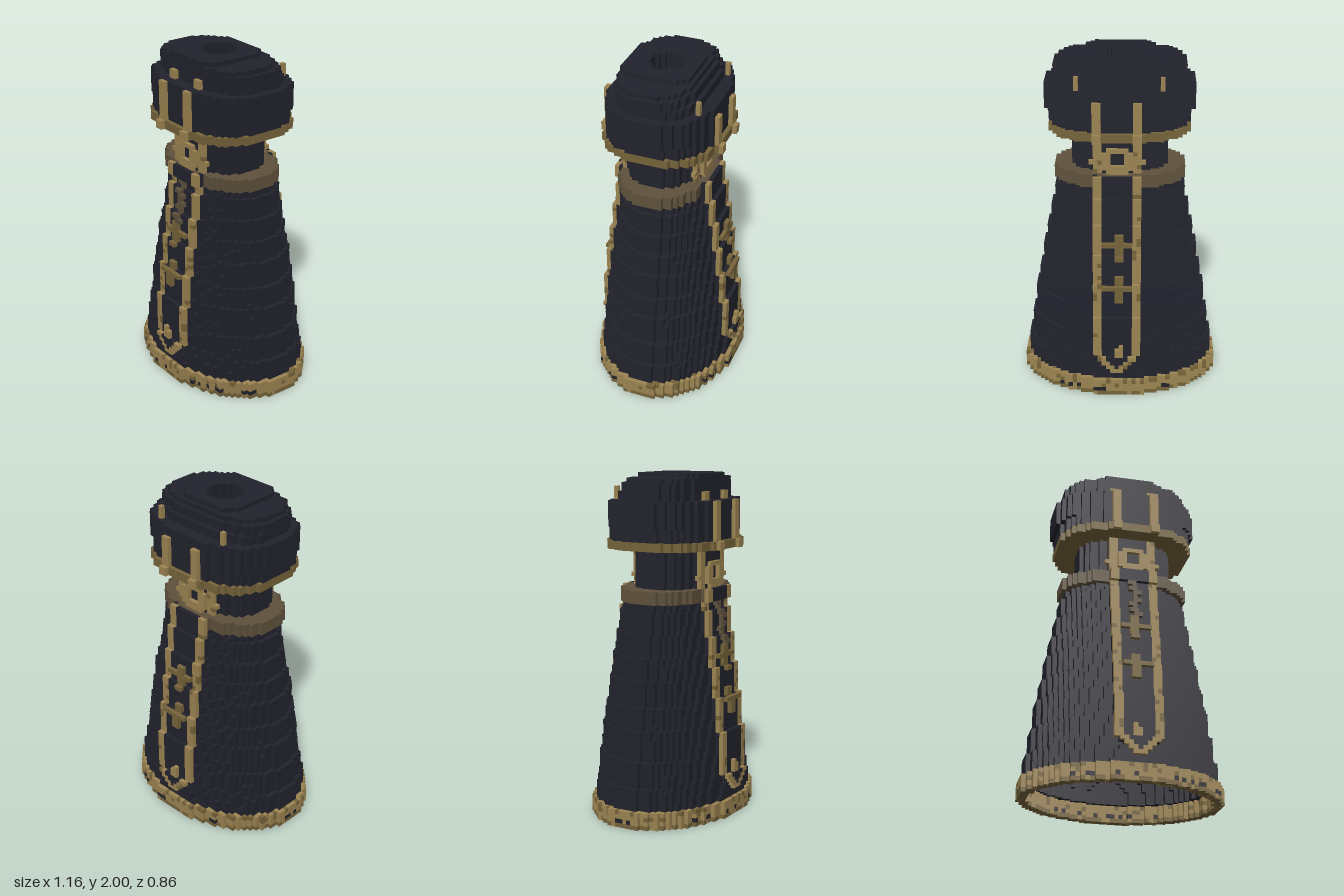
import * as THREE from 'three';

const U = 2 / 79; // edge of one cube

const mat = (name, color) => Object.assign(new THREE.MeshStandardMaterial({ color }), { name });

export function createModel() {
  const cloth = mat('dark cloth', 0x22222d);
  const gold = mat('gold trim', 0x9c8452);
  const darkGold = mat('dark gold', 0x76643a);
  const leather = mat('dull brown', 0x5f523c);
  const parts = {
    robe: cloth, neck: cloth, hood: cloth, panel: cloth, hemGap: cloth,
    hem: gold, hemShade: darkGold, belt: leather, hoodBand: darkGold,
    panelTrim: gold, panelTrimShade: darkGold, buckle: gold, emblem: gold,
    cross: darkGold, chain: leather, hoodStud: gold,
  };

  // Cube grid: column i, row j, depth k -> part name
  const cells = new Map();
  const key = (i, j, k) => ((j + 4) * 64 + i + 32) * 64 + k + 32;
  const get = (i, j, k) => cells.get(key(i, j, k));
  const put = (part, i, j, k) => cells.set(key(i, j, k), { part, i, j, k });

  let seed = 7;
  const random = () => (seed = (seed * 16807) % 2147483647) / 2147483647;

  const inside = (i, k, a, b, c, n) =>
    a > 0 && b > 0 && Math.abs((i + 0.5) / a) ** n + Math.abs((k - c) / b) ** n <= 1;

  // Rounded layer of cubes; wall > 0 leaves it hollow
  function layer(part, j, a, b, c, n = 2, wall = 0) {
    for (let i = -23; i < 23; i++) {
      for (let k = -17; k <= 17; k++) {
        if (!inside(i, k, a, b, c, n)) continue;
        if (wall && inside(i, k, a - wall, b - wall, c, n)) continue;
        put(typeof part === 'function' ? part(j) : part, i, j, k);
      }
    }
  }
  function stack(part, j0, j1, a, k0, k1, n) {
    for (let j = j0; j <= j1; j++) layer(part, j, a, (k1 - k0 + 1) / 2, (k0 + k1) / 2, n);
  }

  // Flared hollow robe
  for (let j = 4; j < 50; j++) {
    const y = (j + 0.5) * U;
    const a = Math.round((0.575 - 0.13 * y - 0.035 * y * y) / U);
    const b = (0.415 - 0.075 * y - 0.04 * y * y) / U;
    layer('robe', j, a, b, -0.5, 2, 2);
  }

  // Mottled hem
  const hemPart = (j) => {
    const r = random();
    if (j === 0) return r < 0.85 ? 'hemShade' : 'hem';
    if (j === 1 && r < 0.2) return 'hemGap';
    return r < 0.2 ? 'hemShade' : 'hem';
  };
  for (let j = 0; j < 4; j++) layer(hemPart, j, 23, 17, -0.5, 2, 2);

  // Belt, neck and stepped hood
  stack('belt', 50, 52, 15, -10, 10, 2.2);
  stack('neck', 53, 61, 11, -7, 8, 2.4);
  stack('hoodBand', 62, 63, 16, -13, 13, 2.6);
  stack('hood', 64, 66, 16, -12, 12, 2.6);
  stack('hood', 67, 72, 17, -12, 12, 2.6);
  stack('hood', 73, 74, 15, -9, 9, 3);
  stack('hood', 75, 76, 15, -8, 9, 3);
  stack('hood', 77, 77, 14, -7, 9, 3);
  stack('hood', 78, 78, 8, -6, 9, 4);

  // Opening in the top
  for (let j = 75; j < 79; j++) {
    for (let i = -4; i < 4; i++) {
      for (let k = -3; k <= 4; k++) {
        if (inside(i, k, 4.2, 4.2, 0.5, 2)) cells.delete(key(i, j, k));
      }
    }
  }

  // Depth of the body along its middle, front and back
  const surface = { '1': [], '-1': [] };
  for (const side of [1, -1]) {
    for (let j = 0; j < 79; j++) {
      let k = 17 * side;
      while (k * side > 0 && !get(0, j, k)) k -= side;
      surface[side][j] = k;
    }
  }
  const attach = (part, i, j, side, out = 1) => {
    const k = surface[side][j] + side * out;
    if (Math.abs(k) <= 17) put(part, i, j, k);
  };

  for (const side of [1, -1]) {
    // Hanging panel with a pointed lower end and gold edges
    for (let j = 6; j < 62; j++) {
      const half = Math.min(5, j - 5);
      for (let i = -half; i <= half; i++) {
        const edge = Math.abs(i) > half - 2 || j < 7;
        const part = !edge ? 'panel' : random() < 0.1 ? 'panelTrimShade' : 'panelTrim';
        attach(part, i, j, side);
        // Close the wall behind the panel
        const k = surface[side][j];
        if (!get(i, j, k)) put('panel', i, j, k);
      }
    }
    // Straps over the hood
    const top = side > 0 ? 74 : 70;
    for (let j = 62; j <= top; j++) {
      for (const i of [-5, -4, 4, 5]) attach('panelTrim', i, j, side);
    }
    // Square buckle at the neck
    for (let j = 53; j <= 58; j++) {
      for (let i = -3; i <= 3; i++) {
        const border = Math.abs(i) > 1 || j < 55 || j > 57;
        const corner = Math.abs(i) === 3 && (j === 53 || j === 58);
        if (border && !corner) attach('buckle', i, j, side, 2);
      }
    }
    // Side tabs on the buckle
    for (const i of [-6, 6]) attach('buckle', i, 55, side);
    // Two crosses
    for (const j0 of [24, 34]) {
      for (let j = j0; j < j0 + 6; j++) {
        for (let i = -1; i <= 0; i++) attach('cross', i, j, side, 2);
      }
      for (let i = -3; i <= 3; i++) attach('cross', i, j0 + 3, side, 2);
    }
    // Small emblem near the point
    for (const [i, j] of [[-1, 12], [-1, 11], [0, 11], [0, 10], [-1, 10]]) attach('emblem', i, j, side, 2);
  }

  // Chain below the front buckle
  for (let j = 40; j < 50; j++) {
    attach('chain', 0, j, 1, 2);
    if (j % 3) attach('chain', j % 2 ? -1 : 1, j, 1, 2);
  }

  // Studs behind the hood
  for (const i of [-10, 9]) {
    for (let j = 73; j < 76; j++) put('hoodStud', i, j, -10);
  }

  // Gather the visible cube faces of each part
  const faces = [];
  for (let axis = 0; axis < 3; axis++) {
    for (const s of [1, -1]) {
      const n = [0, 0, 0];
      n[axis] = s;
      const u = (axis + 1) % 3, v = (axis + 2) % 3;
      const corners = [[0, 0], [1, 0], [1, 1], [0, 1]].map(([p, q]) => {
        const c = [0, 0, 0];
        c[axis] = s > 0 ? 1 : 0;
        c[u] = p;
        c[v] = q;
        return c;
      });
      if (s < 0) corners.reverse();
      faces.push({ n, corners });
    }
  }
  const buffers = {};
  for (const name in parts) buffers[name] = { pos: [], nor: [], idx: [] };
  for (const { part, i, j, k } of cells.values()) {
    const { pos, nor, idx } = buffers[part];
    for (const { n, corners } of faces) {
      if (get(i + n[0], j + n[1], k + n[2])) continue;
      const b = pos.length / 3;
      for (const c of corners) {
        pos.push((i + c[0]) * U, (j + c[1]) * U, (k - 0.5 + c[2]) * U);
        nor.push(...n);
      }
      idx.push(b, b + 1, b + 2, b, b + 2, b + 3);
    }
  }

  const group = new THREE.Group();
  group.name = 'robe with hood';
  for (const name in parts) {
    const { pos, nor, idx } = buffers[name];
    if (!idx.length) continue;
    const geometry = new THREE.BufferGeometry();
    geometry.setAttribute('position', new THREE.Float32BufferAttribute(pos, 3));
    geometry.setAttribute('normal', new THREE.Float32BufferAttribute(nor, 3));
    geometry.setIndex(idx);
    const mesh = new THREE.Mesh(geometry, parts[name]);
    mesh.name = name;
    group.add(mesh);
  }
  return group;
}
